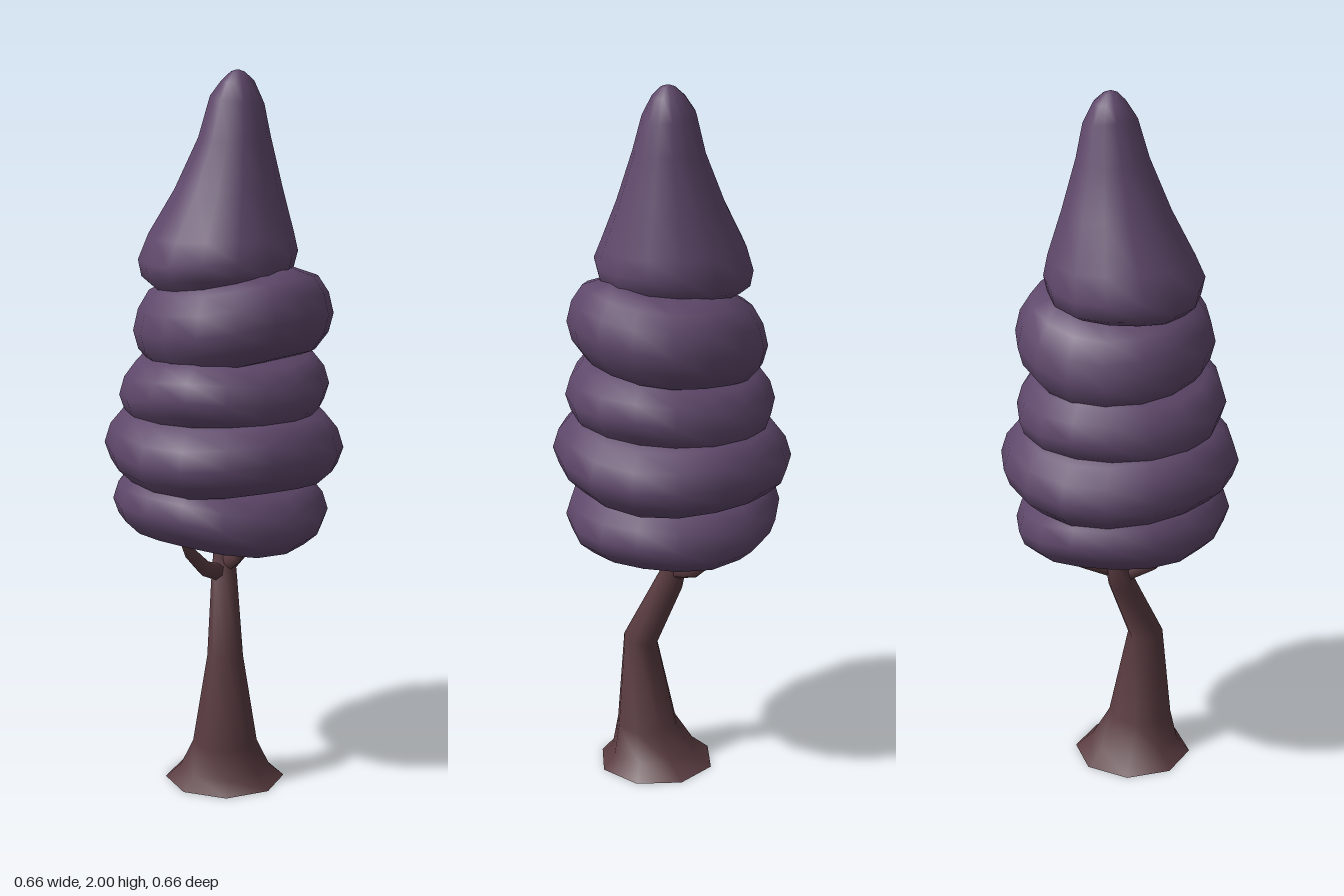
import * as THREE from 'three';

const foliageMat = new THREE.MeshStandardMaterial({ color: 0x5f486b });
foliageMat.name = 'plum foliage';
const barkMat = new THREE.MeshStandardMaterial({ color: 0x593b40, side: THREE.DoubleSide });
barkMat.name = 'brown bark';

// Skin over rings listed bottom to top: [x, y, z, radius, slopeX, slopeZ]
function loft(rings, sides, wobble = 0, capStart = true, turn = 0) {
  const pos = [], idx = [];
  rings.forEach(([x, y, z, r, sx = 0, sz = 0], i) => {
    for (let j = 0; j < sides; j++) {
      const a = (j / sides) * Math.PI * 2 + turn;
      const dx = Math.cos(a) * r, dz = Math.sin(a) * r;
      const lift = wobble * r * Math.sin(3 * a + rings[0][1] * 20);
      pos.push(x + dx, y + dx * sx + dz * sz + lift, z + dz);
      if (i > 0) {
        const k = (j + 1) % sides, lo = (i - 1) * sides, hi = i * sides;
        idx.push(lo + j, hi + j, hi + k, lo + j, hi + k, lo + k);
      }
    }
  });
  // Close the ends with a fan to a centre point
  const cap = (ring, top) => {
    const [x, y, z] = rings[ring], c = pos.length / 3, o = ring * sides;
    pos.push(x, y, z);
    for (let j = 0; j < sides; j++) {
      const k = (j + 1) % sides;
      if (top) idx.push(o + j, c, o + k);
      else idx.push(o + j, o + k, c);
    }
  };
  if (capStart) cap(0, false);
  cap(rings.length - 1, true);
  const g = new THREE.BufferGeometry();
  g.setAttribute('position', new THREE.Float32BufferAttribute(pos, 3));
  g.setIndex(idx);
  g.computeVertexNormals();
  return g;
}

export function createModel() {
  const tree = new THREE.Group();
  tree.name = 'tree';
  const add = (name, geometry, material) => {
    const mesh = new THREE.Mesh(geometry, material);
    mesh.name = name;
    tree.add(mesh);
  };

  // Bent trunk with flared foot, open underneath
  add('trunk', loft([
    [0, 0, 0.05, 0.168],
    [0, 0.04, 0.058, 0.125],
    [0, 0.12, 0.078, 0.09],
    [0, 0.38, 0.097, 0.05, 0, 0.15],
    [0, 0.57, 0.008, 0.037, 0, 0.4],
    [0, 0.64, -0.015, 0.031],
    [0, 0.78, -0.012, 0.022],
  ], 8, 0, false), barkMat);

  // Branches curving up into the crown
  [
    [-0.12, 0.75, 0.15], [0.12, 0.75, -0.17], [0.07, 0.75, 0.06],
  ].forEach(([x, y, z], i) => {
    const y0 = 0.59 + i * 0.015;
    const rings = [[0, 0, 0.02], [0.45, 0.22, 0.017], [0.8, 0.6, 0.014], [1, 1, 0.01]].map(
      ([t, u, r]) => [x * t, y0 + (y - y0) * u, z * t, r, -Math.sign(x) * 0.7, -Math.sign(z) * 0.7]);
    add('branch' + (i + 1), loft(rings, 6), barkMat);
  });

  // Puffy foliage tiers: centre, radius, half height, slopes
  const puff = [
    [0.55, -0.95], [0.82, -0.82], [0.95, -0.48], [1, -0.08],
    [0.95, 0.38], [0.84, 0.76], [0.6, 0.98], [0.25, 1.05],
  ];
  [
    [-0.01, 0.805, 0.002, 0.3, 0.105, -0.09, 0.01],
    [0, 0.975, 0, 0.332, 0.118, 0.0, 0.03],
    [0, 1.135, 0.006, 0.29, 0.11, 0.02, 0.06],
    [0.025, 1.325, 0.005, 0.275, 0.13, 0.11, 0.09],
  ].forEach(([x, y, z, r, h, sx, sz], i) => {
    const rings = puff.map(([k, v]) => [x, y + v * h, z, r * k, sx, sz]);
    add('foliageTier' + (i + 1), loft(rings, 16, 0.03), foliageMat);
  });

  // Tall crown leaning towards its tip
  add('crownTip', loft([
    [-0.01, 1.41, 0, 0.1, 0.06, -0.03],
    [-0.015, 1.425, 0, 0.175, 0.06, -0.03],
    [-0.018, 1.455, 0.002, 0.208, 0.06, 0.03],
    [-0.017, 1.5, 0.003, 0.218, 0.05, 0.03],
    [-0.008, 1.56, 0, 0.198],
    [0.012, 1.68, 0, 0.147],
    [0.028, 1.82, 0, 0.098],
    [0.035, 1.92, -0.003, 0.073, -0.15],
    [0.036, 1.97, -0.002, 0.045],
    [0.036, 1.994, 0, 0.02],
    [0.036, 2, 0, 0.004],
  ], 14, 0.02), foliageMat);

  return tree;
}
